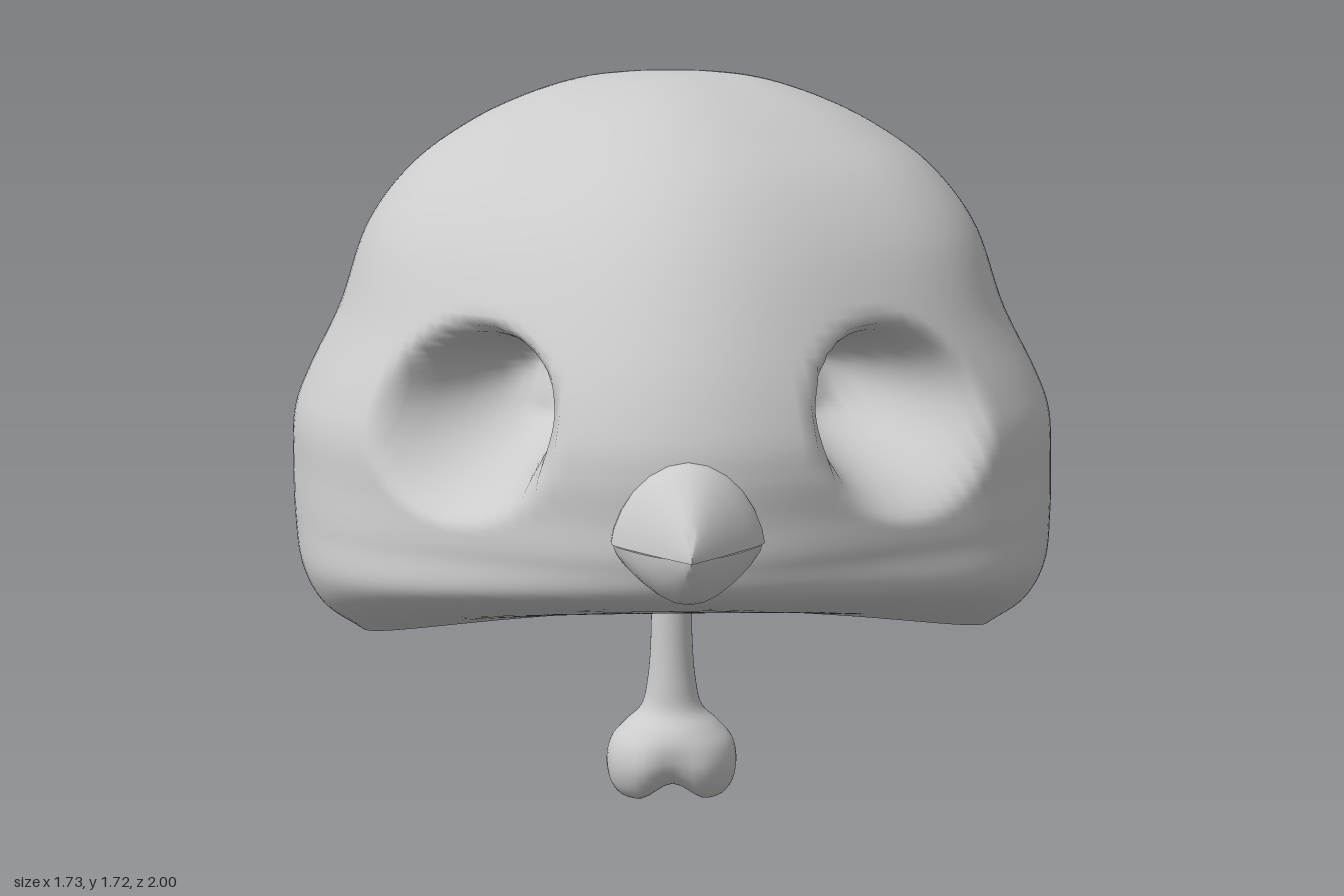
import * as THREE from 'three';
import { toCreasedNormals } from 'three/addons/utils/BufferGeometryUtils.js';

const V = (x, y, z) => new THREE.Vector3(x, y, z);
const spline = points => new THREE.CatmullRomCurve3(points, false, 'catmullrom');
const { smoothstep } = THREE.MathUtils;
const material = new THREE.MeshStandardMaterial({ color: 0xcccccc });

function part(name, geometry) {
  const mesh = new THREE.Mesh(geometry, material);
  mesh.name = name;
  return mesh;
}

// Skin over rows of closed rings; point(t, a) gives the position on row t at angle a
function loft(rows, cols, point) {
  const pos = [], index = [];
  for (let i = 0; i <= rows; i++) {
    for (let j = 0; j < cols; j++) {
      pos.push(...point(i / rows, (j / cols) * Math.PI * 2).toArray());
      if (i === rows) continue;
      const k = (j + 1) % cols, a = i * cols + j, b = i * cols + k;
      index.push(a, b, a + cols, b, b + cols, a + cols);
    }
  }
  const g = new THREE.BufferGeometry();
  g.setAttribute('position', new THREE.Float32BufferAttribute(pos, 3));
  g.setIndex(index);
  g.computeVertexNormals();
  return g;
}

// Head slices, top to rim: [height, half width, front z, back z, z of greatest width]
const SLICES = [
  [1.72, 0.001, -0.179, -0.181, -0.18],
  [1.716, 0.11, -0.08, -0.28, -0.18],
  [1.70, 0.22, 0.03, -0.43, -0.18],
  [1.66, 0.345, 0.17, -0.58, -0.18],
  [1.60, 0.47, 0.31, -0.73, -0.17],
  [1.51, 0.595, 0.47, -0.85, -0.15],
  [1.38, 0.695, 0.61, -0.94, -0.13],
  [1.20, 0.76, 0.74, -1.0, -0.12],
  [1.06, 0.83, 0.81, -0.97, -0.1],
  [0.97, 0.863, 0.83, -0.87, -0.08],
  [0.86, 0.866, 0.83, -0.74, -0.05],
  [0.75, 0.86, 0.83, -0.70, 0],
  [0.65, 0.84, 0.79, -0.67, 0.08],
  [0.57, 0.79, 0.62, -0.62, 0.15],
  [0.51, 0.70, 0.42, -0.52, 0.2],
];
const curveA = spline(SLICES.map(s => V(s[0], s[1], s[2])));
const curveB = spline(SLICES.map(s => V(s[3], s[4], 0)));

function headSurface(t, a) {
  const c = Math.cos(a), s = Math.sin(a);
  const A = curveA.getPoint(t), B = curveB.getPoint(t);
  let x = A.y * c, z = B.y + s * (s > 0 ? A.z - B.y : B.y - B.x);
  if (s > 0) {
    // Flatter face on each side of the beak
    z -= 0.45 * A.y * c * c * s ** 4 * smoothstep(A.x, 0.5, 0.75);
  } else {
    // Fuller back corners
    const full = 1 + 0.18 * c * c * s * s;
    x *= full;
    z = B.y + (z - B.y) * full;
  }
  // The lower rim rises towards the front and back and dips at the cheeks
  const rim = 0.51 + (s > 0 ? 0.09 * s * s : -0.08 * s);
  let y = A.x;
  if (y < 0.97) y = 0.97 - (0.97 - y) * (0.97 - rim) / 0.46;
  return V(x, y, z);
}

// Push the eye sockets in along their axis
const eye = V(0.45, 1.045, 0.59), axis = V(0.6, 0, 0.8), across = V(0.8, 0, -0.6);
function carveSockets(p) {
  const d = V(Math.abs(p.x), p.y, p.z).sub(eye);
  if (d.dot(axis) < -0.3) return p;
  const r = Math.hypot(d.dot(across) / 0.25, d.y / 0.21);
  const k = 1 - smoothstep(r, 0.25, 1);
  return p.add(V(-axis.x * Math.sign(p.x) * 0.31 * k, 0.04 * k, -axis.z * 0.31 * k));
}

function headGeometry() {
  const shell = 0.87;
  return loft(130, 160, (t, a) => {
    if (t <= shell) return carveSockets(headSurface(t / shell, a));
    // Gently hollowed underside, from the rim to the middle
    const f = 1 - (t - shell) / (1 - shell);
    const p = headSurface(1, a);
    return V(p.x * f, 0.65 + (p.y - 0.65) * smoothstep(f, 0, 1), -0.08 + (p.z + 0.08) * f);
  });
}

// One half of the beak; keys run from tip to base: [z, half width, outer y]
function beakHalf(keys, mouthY) {
  const path = spline(keys.map(k => V(...k)));
  const g = loft(12, 24, (t, a) => {
    const k = path.getPoint(t), h = k.z - mouthY;
    const s = Math.sin(-a) * Math.sign(h);
    const y = mouthY + (s > 0 ? h * Math.pow(s, 1.3) : 0);
    return V(k.y * Math.cos(a), y, k.x);
  });
  return toCreasedNormals(g, 0.9);
}

// Bone sections, top to bottom: [height, half width, half depth]
const boneCurve = spline([
  [0.70, 0.047, 0.047], [0.52, 0.047, 0.047], [0.38, 0.05, 0.05], [0.29, 0.058, 0.056],
  [0.23, 0.073, 0.066], [0.19, 0.112, 0.1], [0.15, 0.145, 0.123], [0.1, 0.155, 0.131],
  [0.05, 0.147, 0.112], [0.018, 0.125, 0.078], [0.004, 0.1, 0],
].map(k => V(...k)));

// Shaft flaring into a pair of knobs with a groove between them
function boneGeometry() {
  return loft(50, 40, (t, a) => {
    const k = boneCurve.getPoint(t);
    const x = k.y * Math.cos(a);
    const groove = 1 - smoothstep(Math.abs(x), 0, 0.085);
    const low = 1 - smoothstep(k.x, 0, 0.13);
    const knob = 1 - smoothstep(k.x, 0.08, 0.2);
    return V(x, k.x + 0.04 * groove * low, k.z * Math.sin(a) * (1 - 0.2 * groove * knob));
  });
}

export function createModel() {
  const model = new THREE.Group();
  model.name = 'birdSkullOnBone';

  model.add(part('head', headGeometry()));

  const beak = new THREE.Group();
  beak.name = 'beak';
  beak.add(part('upperBeak', beakHalf(
    [[0.995, 0, 0.853], [0.95, 0.045, 0.915], [0.88, 0.11, 0.98], [0.82, 0.152, 1.01], [0.74, 0.14, 0.99]], 0.845)));
  beak.add(part('lowerBeak', beakHalf(
    [[0.965, 0, 0.835], [0.93, 0.06, 0.775], [0.88, 0.11, 0.735], [0.82, 0.148, 0.75], [0.74, 0.14, 0.78]], 0.843)));
  model.add(beak);

  const bone = part('bone', boneGeometry());
  bone.position.z = -0.09;
  model.add(bone);
  return model;
}
